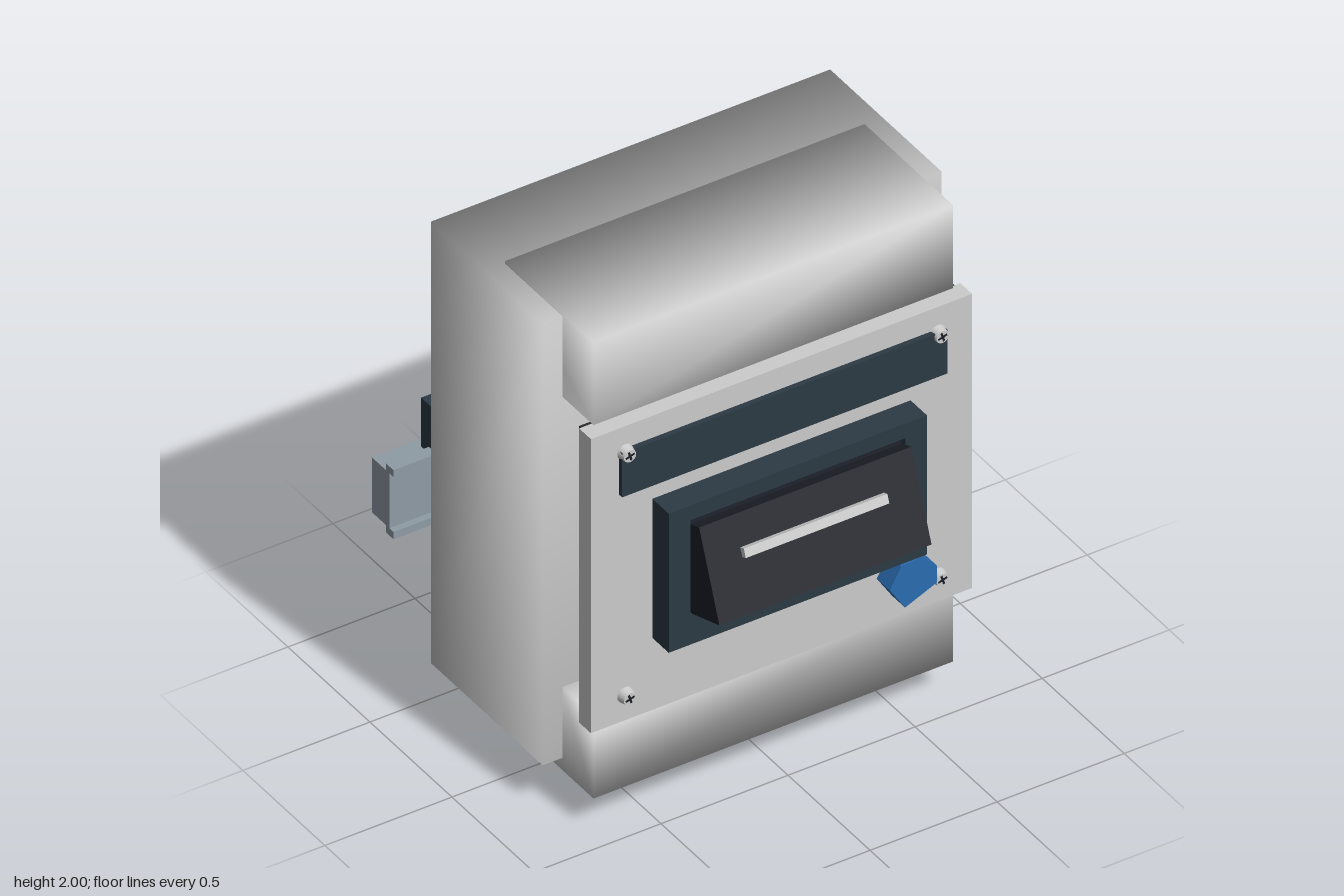
import * as THREE from 'three';
import { mergeVertices } from 'three/addons/utils/BufferGeometryUtils.js';
import { RoundedBoxGeometry } from 'three/addons/geometries/RoundedBoxGeometry.js';

const mat = (color) => new THREE.MeshStandardMaterial({ color });
const M = {
  shell: mat(0xcccccc), steel: mat(0xcccccc), rail: mat(0x8f9ca5), slate: mat(0x2c3a44),
  black: mat(0x1c1f28), rubber: mat(0x2a302d), blue: mat(0x2a6cb0), gold: mat(0xc0954a), orange: mat(0x9a4f28),
};

function add(parent, name, geometry, material, x = 0, y = 0, z = 0) {
  const mesh = new THREE.Mesh(geometry, material);
  mesh.name = name;
  mesh.position.set(x, y, z);
  parent.add(mesh);
  return mesh;
}

// box given by its extents, optionally with rounded edges
function box(parent, name, material, [x0, x1], [y0, y1], [z0, z1], r = 0) {
  const s = [x1 - x0, y1 - y0, z1 - z0];
  const g = r ? new RoundedBoxGeometry(...s, 2, r) : new THREE.BoxGeometry(...s);
  return add(parent, name, g, material, (x0 + x1) / 2, (y0 + y1) / 2, (z0 + z1) / 2);
}

// shares corner normals so that a shell shades softly across its edges
function soften(g) {
  g.deleteAttribute('normal');
  g.deleteAttribute('uv');
  const m = mergeVertices(g, 1e-4);
  m.computeVertexNormals();
  return m;
}

// (z, y) outline extruded across x
function sideProfile(points, width) {
  const shape = new THREE.Shape(points.map(([z, y]) => new THREE.Vector2(-z, y)));
  const g = new THREE.ExtrudeGeometry(shape, { depth: width, bevelEnabled: false });
  return g.translate(0, 0, -width / 2).rotateY(Math.PI / 2);
}

// helix along y, from 0 to height
function helix(radius, height, turns, wire) {
  const pts = [];
  for (let i = 0; i <= turns * 12; i++) {
    const a = (i / 12) * Math.PI * 2;
    pts.push(new THREE.Vector3(Math.cos(a) * radius, (height * i) / (turns * 12), Math.sin(a) * radius));
  }
  return new THREE.TubeGeometry(new THREE.CatmullRomCurve3(pts), turns * 16, wire, 6);
}

// panel screw with cross recess, facing +z
function panelScrew(x, y) {
  const g = new THREE.Group();
  g.name = 'panelScrew';
  g.position.set(x, y, 0);
  add(g, 'screwHead', new THREE.CylinderGeometry(0.024, 0.031, 0.03, 24).rotateX(Math.PI / 2), M.steel, 0, 0, 0.475);
  add(g, 'screwTip', new THREE.CylinderGeometry(0.014, 0.014, 0.11, 12).rotateX(Math.PI / 2), M.rubber, 0, 0, 0.405);
  for (const a of [0, Math.PI / 2]) {
    add(g, 'crossSlot', new THREE.BoxGeometry(0.036, 0.008, 0.002), M.black, 0, 0, 0.49).rotation.z = a + 0.3;
  }
  return g;
}

// clamp cage with its screw facing -z; y measured from the shelf
function clamp(x) {
  const g = new THREE.Group();
  g.name = 'terminalClamp';
  g.position.x = x;
  for (const s of [-1, 1]) {
    add(g, 'cageCheek', new THREE.BoxGeometry(0.012, 0.22, 0.13), M.rubber, s * 0.125, 0.13, -0.6);
    add(g, 'cageSide', new THREE.BoxGeometry(0.016, 0.19, 0.12), M.gold, s * 0.108, 0.12, -0.61);
    add(g, 'cagePost', new THREE.BoxGeometry(0.05, 0.19, 0.012), M.gold, s * 0.075, 0.12, -0.664);
  }
  box(g, 'cageFloor', M.gold, [-0.11, 0.11], [0.025, 0.045], [-0.67, -0.55]);
  box(g, 'cageBack', M.rubber, [-0.12, 0.12], [0.02, 0.2], [-0.556, -0.544]);
  box(g, 'pressurePlate', M.steel, [-0.1, 0.1], [0.15, 0.24], [-0.682, -0.67]);
  const screw = new THREE.Group();
  screw.name = 'terminalScrew';
  screw.position.set(0, 0.172, -0.58);
  screw.rotation.x = -Math.PI / 2;
  add(screw, 'shaft', new THREE.CylinderGeometry(0.022, 0.022, 0.12, 16), M.steel, 0, 0.06, 0);
  add(screw, 'thread', helix(0.024, 0.1, 5, 0.006), M.steel);
  add(screw, 'head', new THREE.CylinderGeometry(0.046, 0.052, 0.03, 24), M.steel, 0, 0.133, 0);
  add(screw, 'slot', new THREE.BoxGeometry(0.09, 0.002, 0.009), M.black, 0, 0.148, 0).rotation.y = 0.3;
  g.add(screw);
  return g;
}

function terminalBlock(y) {
  const g = new THREE.Group();
  g.name = 'terminalBlock';
  g.position.y = y;
  box(g, 'backPlate', M.slate, [-0.445, 0.445], [0, 0.31], [-0.54, -0.465], 0.015);
  box(g, 'shelf', M.slate, [-0.445, 0.445], [-0.005, 0.022], [-0.7, -0.5], 0.01);
  box(g, 'divider', M.slate, [-0.01, 0.01], [0, 0.31], [-0.7, -0.5]);
  for (const s of [-1, 1]) {
    g.add(clamp(s * 0.265));
    box(g, 'colourTag', s > 0 ? M.blue : M.orange,
      [s * 0.265 - 0.13, s * 0.265 + 0.13], [-0.045, 0], [-0.66, -0.595], 0.01);
  }
  return g;
}

export function createModel() {
  const model = new THREE.Group();
  model.name = 'switchBox';

  // housing and the stepped front cover
  add(model, 'housing', soften(new THREE.BoxGeometry(1.57, 1.81, 0.68)), M.shell, 0, 1.085, -0.12);
  const cover = [[-0.13, 0.13], [0.41, 0.13], [0.41, 0.47], [0.215, 0.47],
    [0.215, 1.66], [0.41, 1.66], [0.41, 2], [-0.13, 2]];
  add(model, 'frontCover', soften(sideProfile(cover, 1.415)), M.shell);

  // front panel
  box(model, 'gasket', M.rubber, [-0.735, 0.735], [0.455, 1.64], [0.365, 0.388]);
  box(model, 'frontPanel', M.shell, [-0.75, 0.75], [0.445, 1.65], [0.388, 0.46]);
  box(model, 'labelStrip', M.slate, [-0.64, 0.64], [1.38, 1.56], [0.46, 0.48]);
  for (const x of [-0.615, 0.615]) for (const y of [0.55, 1.545]) model.add(panelScrew(x, y));

  // rocker switch
  const frame = new THREE.Shape();
  frame.moveTo(-0.508, 0.74).lineTo(0.508, 0.74).lineTo(0.508, 1.31).lineTo(-0.508, 1.31).closePath();
  const hole = new THREE.Path();
  hole.moveTo(-0.423, 0.86).lineTo(-0.423, 1.25).lineTo(0.423, 1.25).lineTo(0.423, 0.86).closePath();
  frame.holes.push(hole);
  add(model, 'rockerFrame', new THREE.ExtrudeGeometry(frame, { depth: 0.1, bevelEnabled: false }), M.slate, 0, 0, 0.46);
  const rocker = [[0.47, 0.865], [0.56, 0.865], [0.728, 0.92], [0.605, 1.245], [0.55, 1.225], [0.47, 1.225]];
  add(model, 'rocker', sideProfile(rocker, 0.835), M.black);
  const bar = add(model, 'rockerMark', new THREE.BoxGeometry(0.565, 0.034, 0.03), M.steel, 0, 1.123, 0.66);
  bar.rotation.x = -0.36;

  // faceted indicator knob
  const facets = [[0.365, 0.645], [0.425, 0.552], [0.55, 0.605], [0.55, 0.675], [0.485, 0.732], [0.41, 0.727]];
  const knob = new THREE.Shape(facets.map(([x, y]) => new THREE.Vector2(x, y)));
  add(model, 'knob', new THREE.ExtrudeGeometry(knob, { depth: 0.08, bevelEnabled: false }), M.blue, 0, 0, 0.475);
  add(model, 'knobStem', new THREE.CylinderGeometry(0.05, 0.05, 0.03, 20).rotateX(Math.PI / 2), M.black, 0.46, 0.645, 0.467);

  // rear terminals, carrier and mounting rail
  box(model, 'rearPlate', M.slate, [-0.4, 0.4], [0.35, 1.68], [-0.477, -0.455]);
  model.add(terminalBlock(0.34), terminalBlock(1.39));
  box(model, 'railCarrier', M.slate, [-0.695, 0.695], [0.79, 1.11], [-0.66, -0.455]);
  const rail = [[-0.59, 0.685], [-0.565, 0.685], [-0.565, 0.655], [-0.612, 0.655], [-0.612, 0.685], [-0.697, 0.685],
    [-0.697, 0.91], [-0.612, 0.91], [-0.612, 0.938], [-0.565, 0.938], [-0.565, 0.91], [-0.59, 0.91]];
  add(model, 'mountingRail', sideProfile(rail, 1.73), M.rail);

  // spring-loaded foot
  add(model, 'footSpring', helix(0.035, 0.11, 4, 0.006), M.steel, 0, 0.085, -0.42);
  box(model, 'foot', M.rubber, [-0.295, 0.295], [0, 0.095], [-0.51, -0.375], 0.006);

  return model;
}
